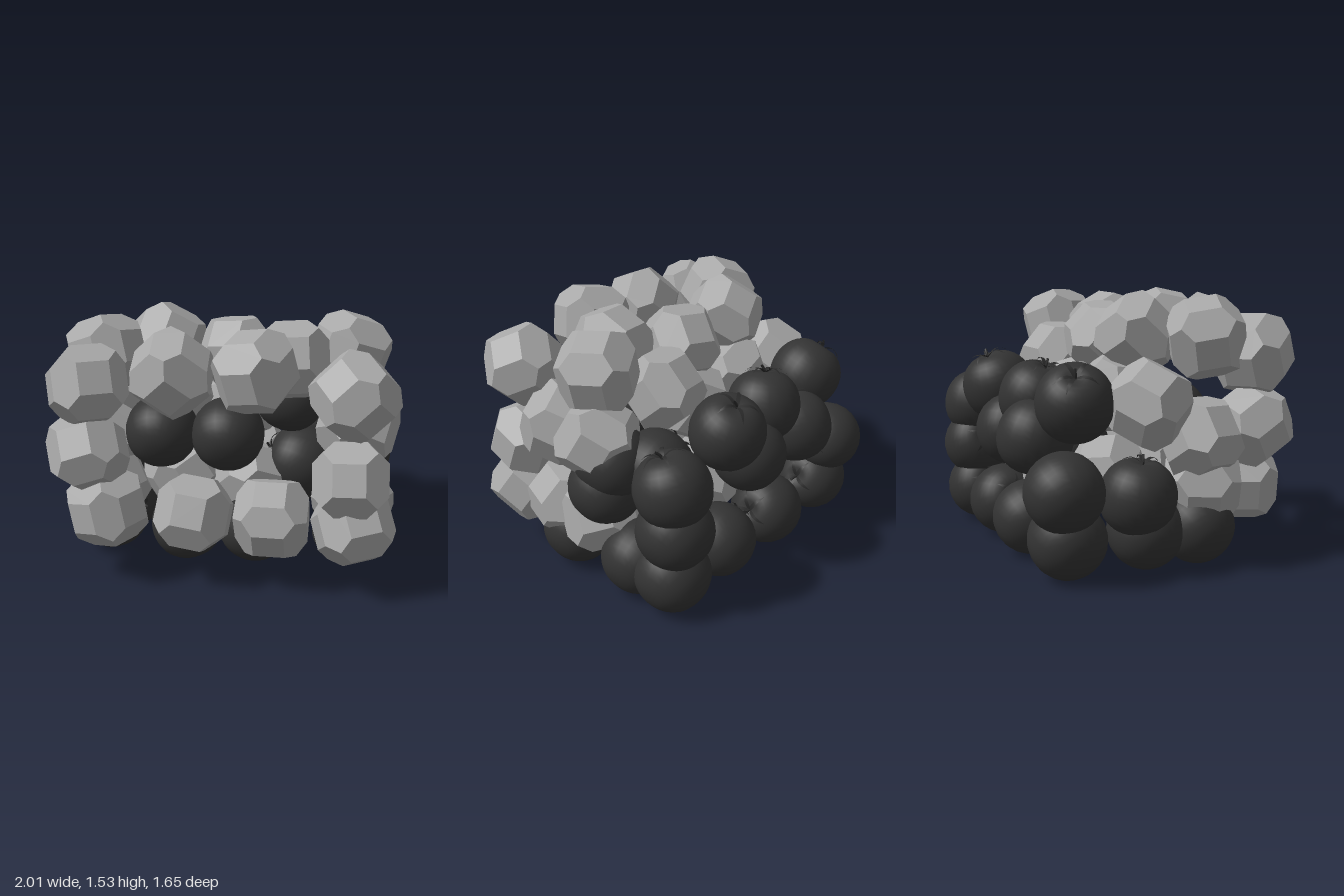
import * as THREE from 'three';
import { ConvexGeometry } from 'three/addons/geometries/ConvexGeometry.js';

const stoneMat = new THREE.MeshStandardMaterial({ color: 0xa8a8a8, flatShading: true });
const fruitMat = new THREE.MeshStandardMaterial({ color: 0x333333 });
const leafMat = new THREE.MeshStandardMaterial({ color: 0x2a2a2a, side: THREE.DoubleSide });

// Seeded numbers for the tumbled orientations
let seed = 7;
const rand = () => (seed = (seed * 16807) % 2147483647) / 2147483647;

// Chamfered cube: six squares and twelve hexagons
function chamferedCube(s) {
  const pts = [];
  for (const a of [-1, 1]) for (const b of [-1, 1]) for (const c of [-1, 1]) {
    pts.push(new THREE.Vector3(a, b, c));
    pts.push(new THREE.Vector3(1.4 * a, 0.6 * b, 0.6 * c));
    pts.push(new THREE.Vector3(0.6 * a, 1.4 * b, 0.6 * c));
    pts.push(new THREE.Vector3(0.6 * a, 0.6 * b, 1.4 * c));
  }
  return new ConvexGeometry(pts.map(p => p.multiplyScalar(s)));
}

// Round fruit body with a shallow dimple at the top
function fruitBody() {
  const profile = [[0, -0.208], [0.06, -0.203], [0.12, -0.179], [0.175, -0.13], [0.207, -0.065],
    [0.217, 0], [0.21, 0.065], [0.183, 0.128], [0.135, 0.177], [0.08, 0.2], [0.035, 0.194], [0, 0.183]];
  return new THREE.LatheGeometry(new THREE.SplineCurve(profile.map(p => new THREE.Vector2(...p))).getPoints(22)
    .map(p => new THREE.Vector2(Math.max(0, p.x), p.y)), 24);
}

// Narrow pointed leaf, bent over the fruit's shoulder
function leafBlade() {
  const g = new THREE.PlaneGeometry(1, 1, 2, 6);
  const p = g.attributes.position;
  for (let i = 0; i < p.count; i++) {
    const t = p.getY(i) + 0.5;
    const w = 0.036 * (1 - t) * (0.5 + 1.5 * t);
    p.setXYZ(i, p.getX(i) * w, 0.19 + 0.045 * Math.sin(t * 2.6) - 0.025 * t, 0.13 * t);
  }
  g.computeVertexNormals();
  return g;
}

// Curved stalk
function stalk() {
  const path = new THREE.QuadraticBezierCurve3(new THREE.Vector3(0, 0.18, 0),
    new THREE.Vector3(0, 0.21, 0), new THREE.Vector3(0.025, 0.235, 0.01));
  return new THREE.TubeGeometry(path, 5, 0.008, 6);
}

// Stone centres: x, y, z
const STONES = [
  // front wall
  [-0.66, 0.43, 0.56], [-0.15, 0.43, 0.56], [0.3, 0.42, 0.54], [0.76, 0.42, 0.56],
  [0.74, 0.7, 0.57], [-0.76, 0.78, 0.56],
  [-0.74, 1.18, 0.57], [-0.26, 1.26, 0.55], [0.2, 1.29, 0.55], [0.74, 1.18, 0.56],
  // top
  [-0.7, 1.28, 0.28], [-0.41, 1.28, 0], [0.02, 1.23, 0], [0.37, 1.27, 0.22],
  [0.34, 1.09, -0.14], [0.69, 1.28, 0.02], [-0.76, 0.94, -0.12],
  // sides and middle
  [0.76, 0.91, 0.26], [0.76, 0.91, -0.03], [0.75, 0.43, 0.25], [0.73, 0.4, 0],
  [-0.77, 0.73, 0.2], [-0.73, 0.46, 0.25], [-0.35, 0.95, -0.1], [0.05, 0.9, -0.12],
  [-0.3, 0.5, 0.12], [0.1, 0.48, 0.1], [-0.42, 0.5, -0.2], [0.1, 0.48, -0.25],
];

// Fruit centres, with tilts about x and z where the stalk faces upward; the rest lean inward
const FRUIT = [
  // bottom layer
  [0.73, 0.22, 0.19], [0.73, 0.22, -0.29], [0.73, 0.22, -0.54], [0.31, 0.22, -0.54],
  [-0.15, 0.22, -0.56], [-0.66, 0.22, -0.56], [-0.74, 0.22, 0.21], [-0.7, 0.22, -0.1],
  [-0.25, 0.22, 0.28], [0.17, 0.22, 0.25],
  // middle
  [-0.4, 0.8, 0.24, -1.2, 0], [0, 0.8, 0.24, -1.2, 0], [0.35, 0.98, 0], [0.42, 0.56, 0],
  [0.75, 0.61, -0.07], [0.73, 0.78, -0.11], [0.58, 0.74, -0.29], [-0.75, 0.43, -0.18, 0.1, 0.1],
  [-0.12, 0.62, -0.27, -0.2, 0],
  // back wall
  [0.73, 0.51, -0.56], [-0.73, 0.5, -0.61], [-0.35, 0.73, -0.61, 0.3, 0], [0.08, 0.71, -0.57],
  // back row on top
  [-0.61, 0.95, -0.49, -0.3, 0.6], [-0.14, 0.92, -0.51, 0.2, 0.3],
  [0.29, 0.94, -0.57, -0.35, -0.05], [0.73, 0.77, -0.55, 0.3, -0.1],
];

export function createModel() {
  const model = new THREE.Group();

  const stones = new THREE.Group();
  stones.name = 'stones';
  const stoneGeo = chamferedCube(0.149);
  for (const [x, y, z] of STONES) {
    const stone = new THREE.Mesh(stoneGeo, stoneMat);
    stone.name = 'stone';
    stone.position.set(x, y, z);
    stone.rotation.set(rand() * 6.28, rand() * 6.28, rand() * 6.28);
    stones.add(stone);
  }

  const fruits = new THREE.Group();
  fruits.name = 'fruits';
  const bodyGeo = fruitBody(), leafGeo = leafBlade(), stalkGeo = stalk();
  for (const [x, y, z, tiltX = 0, tiltZ = 1.2 * Math.sign(x)] of FRUIT) {
    const fruit = new THREE.Group();
    fruit.name = 'fruit';
    const body = new THREE.Mesh(bodyGeo, fruitMat);
    body.name = 'fruitBody';
    const stem = new THREE.Mesh(stalkGeo, leafMat);
    stem.name = 'stalk';
    fruit.add(body, stem);
    for (let i = 0; i < 5; i++) {
      const leaf = new THREE.Mesh(leafGeo, leafMat);
      leaf.name = 'leaf';
      leaf.rotation.y = (i + 0.4 * rand()) * Math.PI * 2 / 5;
      fruit.add(leaf);
    }
    fruit.position.set(x, y, z);
    fruit.rotation.set(tiltX, 0, tiltZ);
    fruits.add(fruit);
  }

  model.add(stones, fruits);
  return model;
}
